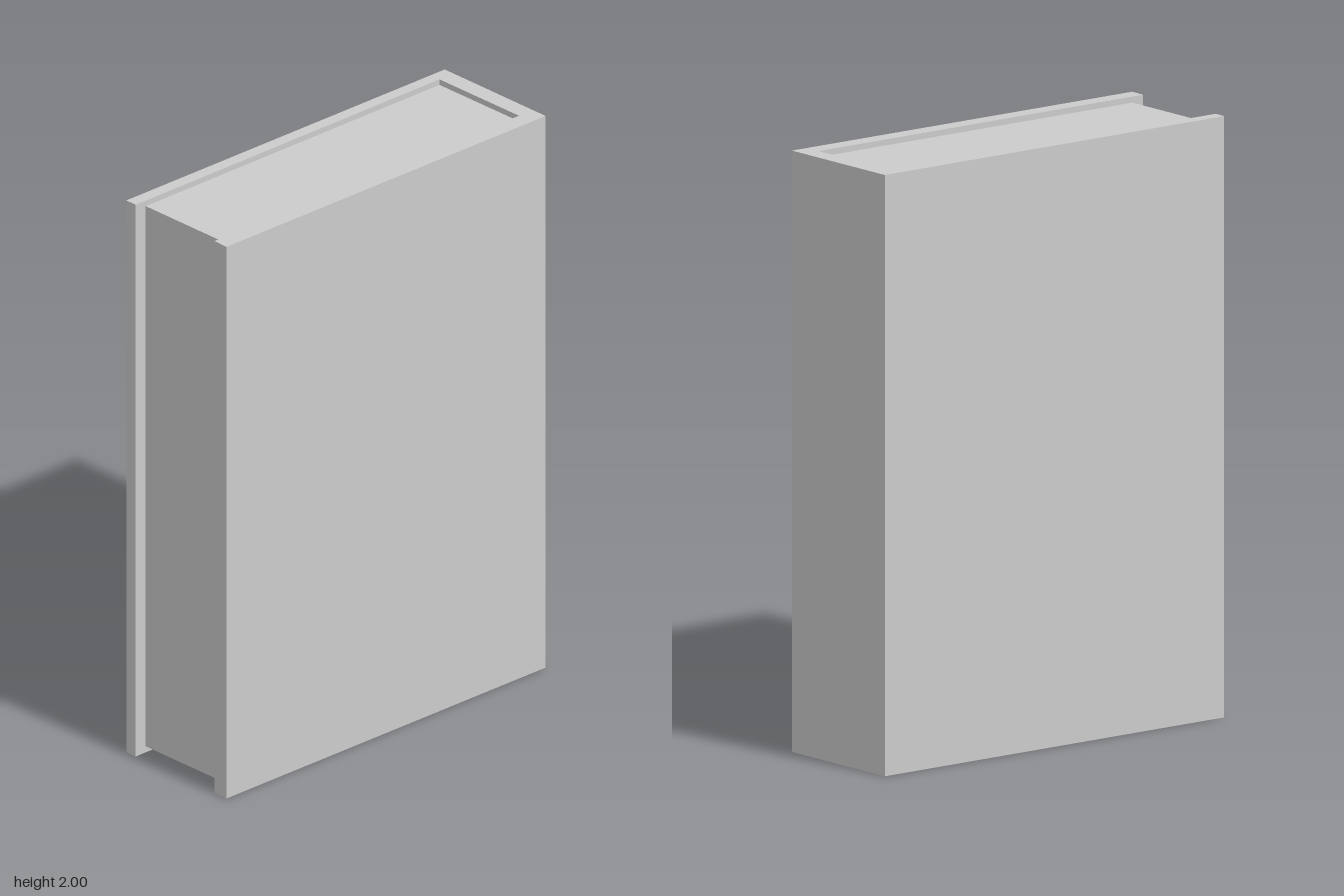
import * as THREE from 'three';

// Extrudes a floor plan given as [x, z] corners from y0 up to y1.
function prism(name, plan, y0, y1) {
  const shape = new THREE.Shape(plan.map(([x, z]) => new THREE.Vector2(x, -z)));
  const geometry = new THREE.ExtrudeGeometry(shape, { depth: y1 - y0, bevelEnabled: false });
  geometry.rotateX(-Math.PI / 2).translate(0, y0, 0);
  const mesh = new THREE.Mesh(geometry, new THREE.MeshStandardMaterial({ color: 0xcccccc }));
  mesh.name = name;
  return mesh;
}

export function createModel() {
  const book = new THREE.Group();
  book.name = 'book';

  // Inner corners where the boards meet the spine
  const innerLeft = [0.199, -0.643];
  const innerRight = [-0.171, -0.647];

  // Both boards and the spine as one U-shaped plan, slightly turned
  book.add(prism('cover', [
    [-0.263, 0.695], [-0.219, 0.697], innerRight, innerLeft,
    [0.149, 0.702], [0.206, 0.704], [0.261, -0.703], [-0.21, -0.71],
  ], 0, 2));

  // Page block, set back from the front, top and bottom edges
  book.add(prism('pages', [
    [-0.218, 0.652], [0.15, 0.657], innerLeft, innerRight,
  ], 0.022, 1.98));

  return book;
}
